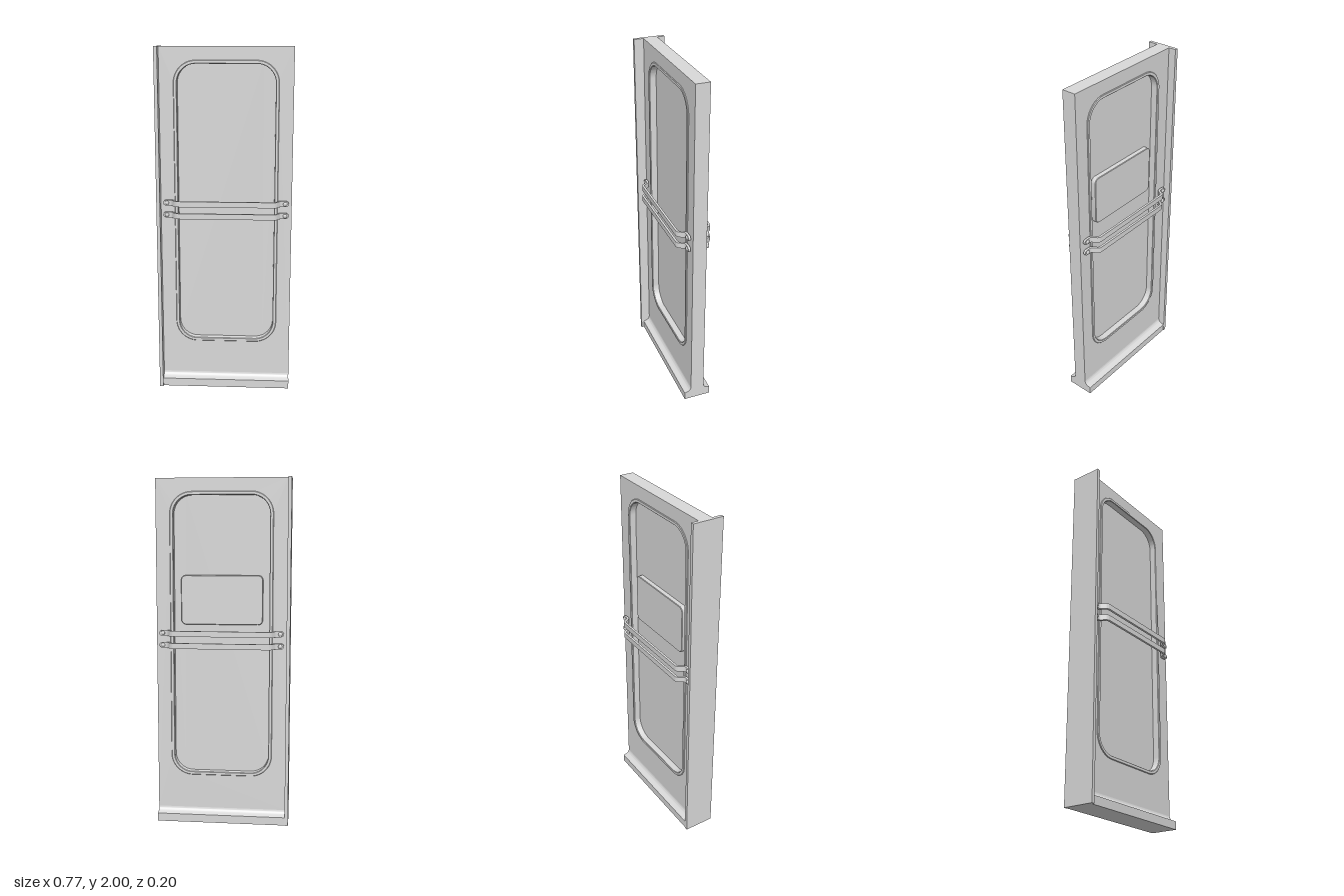
import * as THREE from 'three';
import { toCreasedNormals } from 'three/addons/utils/BufferGeometryUtils.js';

// Traces a rounded rectangle onto a Shape or Path
function roundRect(p, x0, y0, x1, y1, r) {
  p.moveTo(x0 + r, y0);
  p.lineTo(x1 - r, y0);
  p.absarc(x1 - r, y0 + r, r, -Math.PI / 2, 0);
  p.lineTo(x1, y1 - r);
  p.absarc(x1 - r, y1 - r, r, 0, Math.PI / 2);
  p.lineTo(x0 + r, y1);
  p.absarc(x0 + r, y1 - r, r, Math.PI / 2, Math.PI);
  p.lineTo(x0, y0 + r);
  p.absarc(x0 + r, y0 + r, r, Math.PI, Math.PI * 1.5);
  return p;
}

function extrude(shape, depth, opts = {}) {
  const g = new THREE.ExtrudeGeometry(shape, { depth, bevelEnabled: false, curveSegments: 10, ...opts });
  return toCreasedNormals(g, 0.6);
}

export function createModel() {
  const model = new THREE.Group();
  const metal = new THREE.MeshStandardMaterial({ color: 0xd8d8d8 });
  metal.name = 'light grey metal';
  const add = (name, geometry, parent = model) => {
    const m = new THREE.Mesh(geometry, metal);
    m.name = name;
    parent.add(m);
    return m;
  };

  const X0 = -0.365, X1 = 0.385;                       // door leaf edges
  const win = [-0.285, 0.28, 0.305, 1.925], R = 0.125; // window outline
  const inset = (d, p) => roundRect(p, win[0] + d, win[1] + d, win[2] - d, win[3] - d, R - d);
  const chamfer = { bevelEnabled: true, bevelThickness: 0.003, bevelSize: 0.003, bevelSegments: 1 };

  // Door leaf with the window cut out
  const leaf = new THREE.Shape([[X0, 0.08], [X1, 0.08], [X1, 2], [X0, 2]].map(p => new THREE.Vector2(...p)));
  leaf.holes.push(inset(0.004, new THREE.Path()));
  add('doorLeaf', extrude(leaf, 0.08).translate(0, 0, -0.04));

  // Flared foot, profile swept along x
  const foot = new THREE.Shape();
  foot.moveTo(-0.08, 0);
  foot.lineTo(0.08, 0);
  foot.lineTo(0.08, 0.047);
  foot.lineTo(0.065, 0.052);
  foot.quadraticCurveTo(0.042, 0.058, 0.04, 0.08);
  foot.lineTo(-0.04, 0.08);
  foot.quadraticCurveTo(-0.042, 0.058, -0.065, 0.052);
  foot.lineTo(-0.08, 0.047);
  add('doorFoot', extrude(foot, X1 - X0).rotateY(Math.PI / 2).translate(X0, 0, 0));

  // Full-height edge flange
  add('edgeFlange', new THREE.BoxGeometry(0.02, 2, 0.178).translate(-0.375, 1, 0.006));

  // Raised window rim with chamfered edges
  const rim = inset(0.003, new THREE.Shape());
  rim.holes.push(inset(0.017, new THREE.Path()));
  add('windowRim', extrude(rim, 0.084, chamfer).translate(0, 0, -0.042));

  // Pane
  add('windowPane', extrude(inset(0.01, new THREE.Shape()), 0.01).translate(0, 0, -0.005));

  // Shallow plate on the back of the pane
  const plate = roundRect(new THREE.Shape(), -0.224, 1.175, 0.24, 1.452, 0.025);
  add('backPlate', extrude(plate, 0.026, chamfer).translate(0, 0, -0.03));

  // Bent flat bar: a centre line in x and z, thickened on both sides
  const line = new THREE.Path();
  line.moveTo(-0.343, 0.0535);
  line.lineTo(-0.318, 0.0535);
  line.quadraticCurveTo(-0.309, 0.0535, -0.304, 0.06);
  line.lineTo(-0.287, 0.086);
  line.quadraticCurveTo(-0.281, 0.0945, -0.27, 0.0945);
  line.lineTo(0, 0.0945);
  const half = line.getPoints(5);
  const centre = [...half, ...half.slice(0, -1).reverse().map(p => new THREE.Vector2(-p.x, p.y))];
  const side = s => centre.map((p, i) => {
    const a = centre[Math.max(i - 1, 0)], b = centre[Math.min(i + 1, centre.length - 1)];
    const t = b.clone().sub(a).normalize();
    return new THREE.Vector2(p.x - t.y * s, p.y + t.x * s);
  });
  const barShape = new THREE.Shape([...side(-0.0065), ...side(0.0065).reverse()]);
  const barGeo = extrude(barShape, 0.032).rotateX(Math.PI / 2).translate(0, 0.016, 0);

  // Rounded bar ends and domed bolts
  const tabGeo = new THREE.CylinderGeometry(0.016, 0.016, 0.013, 20).rotateX(Math.PI / 2);
  const boltGeo = new THREE.LatheGeometry(
    [[0.012, 0], [0.012, 0.003], [0.009, 0.006], [0, 0.0075]].map(p => new THREE.Vector2(...p)), 16
  ).rotateX(Math.PI / 2);

  // Two guard bars on each face
  for (const turn of [0, Math.PI]) {
    for (const y of [1.124, 1.054]) {
      const bar = new THREE.Group();
      bar.name = turn ? 'backGuardBar' : 'frontGuardBar';
      add('bar', barGeo, bar);
      for (const s of [-1, 1]) {
        add('barEnd', tabGeo, bar).position.set(s * 0.343, 0, 0.0535);
        add('bolt', boltGeo, bar).position.set(s * 0.338, 0, 0.0595);
      }
      bar.position.set(0.009, y, 0);
      bar.rotation.y = turn;
      model.add(bar);
    }
  }
  return model;
}
